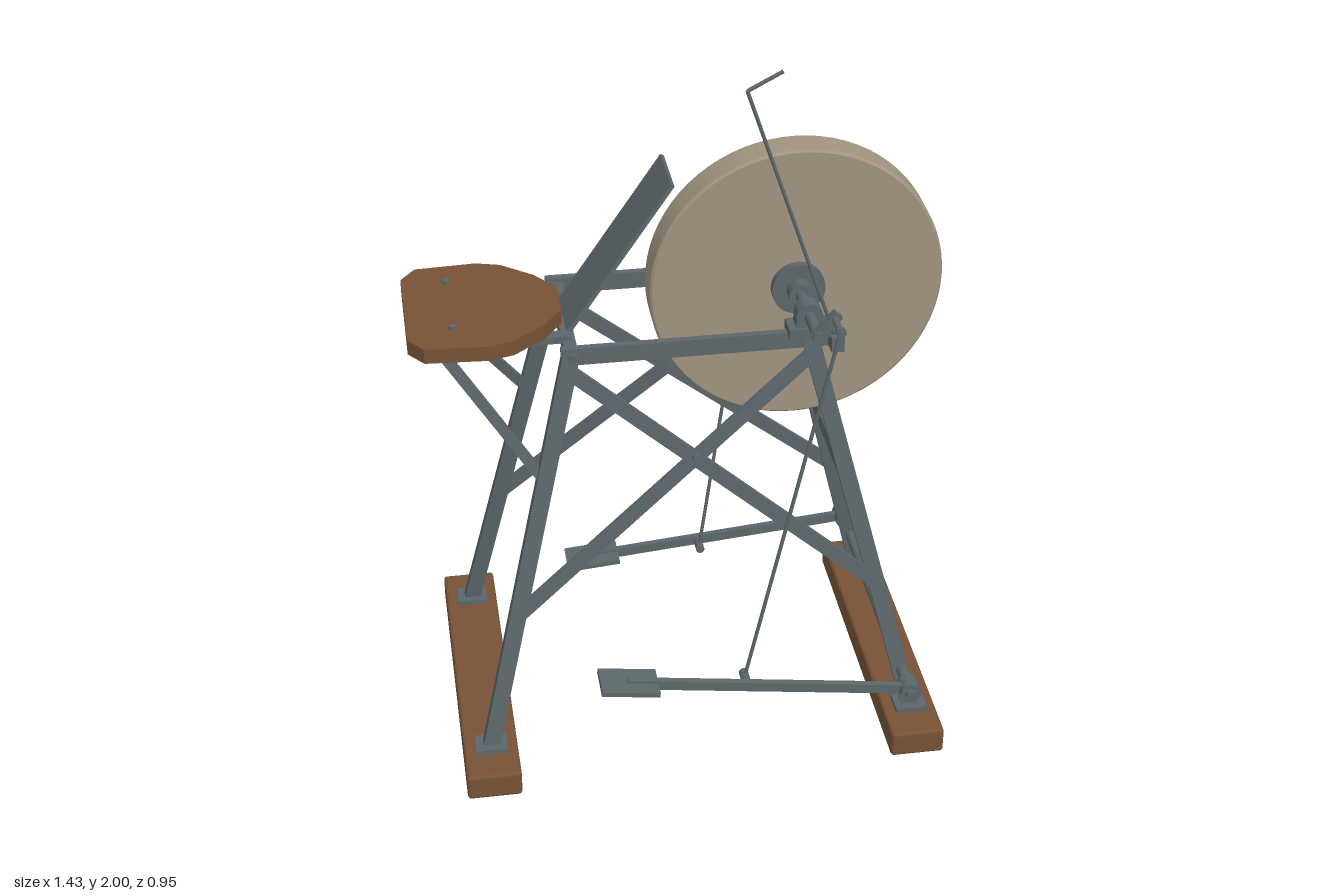
import * as THREE from 'three';
import { RoundedBoxGeometry } from 'three/addons/geometries/RoundedBoxGeometry.js';

const material = (name, color) => {
  const m = new THREE.MeshStandardMaterial({ color });
  m.name = name;
  return m;
};

export function createModel() {
  const metal = material('dark steel', 0x5c676b);
  const wood = material('brown wood', 0x775236);
  const stone = material('tan stone', 0xa19480);
  const model = new THREE.Group();
  model.name = 'treadleGrindstone';

  const add = (name, geometry, mat, x = 0, y = 0, z = 0) => {
    const mesh = new THREE.Mesh(geometry, mat);
    mesh.name = name;
    mesh.position.set(x, y, z);
    model.add(mesh);
    return mesh;
  };
  const box = (name, w, h, d, x, y, z, mat = metal) =>
    add(name, new THREE.BoxGeometry(w, h, d), mat, x, y, z);
  // cylinder lying along z
  const pin = (name, r, length, x, y, z, sides = 20) =>
    add(name, new THREE.CylinderGeometry(r, r, length, sides).rotateX(Math.PI / 2), metal, x, y, z);
  // flat bar between two points, its thin side facing z
  const bar = (name, a, b, width, thickness) => {
    const p = new THREE.Vector3(...a), q = new THREE.Vector3(...b);
    const dir = q.clone().sub(p);
    const length = dir.length();
    dir.normalize();
    const across = new THREE.Vector3().crossVectors(dir, new THREE.Vector3(0, 0, 1)).normalize();
    const out = new THREE.Vector3().crossVectors(across, dir);
    const mesh = add(name, new THREE.BoxGeometry(width, length, thickness), metal);
    mesh.quaternion.setFromRotationMatrix(new THREE.Matrix4().makeBasis(across, dir, out));
    mesh.position.copy(p.add(q).multiplyScalar(0.5));
    return mesh;
  };
  // round rod between two points
  const rod = (name, a, b, r) => {
    const p = new THREE.Vector3(...a), q = new THREE.Vector3(...b);
    const dir = q.clone().sub(p);
    const mesh = add(name, new THREE.CylinderGeometry(r, r, dir.length(), 10), metal);
    mesh.quaternion.setFromUnitVectors(new THREE.Vector3(0, 1, 0), dir.normalize());
    mesh.position.copy(p.add(q).multiplyScalar(0.5));
    return mesh;
  };

  // grinding wheel with a small chamfer
  const R = 0.395, hubX = 0.318, hubY = 1.297;
  const profile = [[0, -0.048], [R - 0.006, -0.048], [R, -0.042], [R, 0.042], [R - 0.006, 0.048], [0, 0.048]];
  profile.slice(0, -1).forEach((p, i) => {
    const pts = [p, profile[i + 1]].map(([x, y]) => new THREE.Vector2(x, y));
    add('grindingWheel', new THREE.LatheGeometry(pts, 72).rotateX(Math.PI / 2), stone, hubX, hubY, 0);
  });
  pin('axle', 0.015, 0.66, hubX, hubY, 0);

  // wooden skids and the cross members
  for (const x of [-0.572, 0.613]) {
    add('skid', new RoundedBoxGeometry(0.15, 0.078, 0.94, 2, 0.01), wood, x, 0.039, 0);
  }
  box('rearCrossBar', 0.035, 0.035, 0.4, -0.302, 1.215, 0);
  box('lowerCrossBar', 0.035, 0.038, 0.48, 0.42, 0.84, 0);

  for (const s of [1, -1]) {
    // legs and feet
    for (const [x0, x1, top] of [[-0.57, -0.302, 1.235], [0.615, 0.322, 1.235]]) {
      box('footPlate', 0.088, 0.014, 0.07, x0, 0.085, s * 0.345);
      bar('leg', [x0, 0.085, s * 0.345], [x1, top, s * 0.19], 0.045, 0.028);
    }
    box('topRail', 0.72, 0.048, 0.02, 0.03, 1.222, s * 0.192);
    pin('railBolt', 0.013, 0.05, -0.297, 1.222, s * 0.192, 12);

    // crossed braces
    bar('brace', [-0.31, 1.18, s * 0.204], [0.515, 0.485, s * 0.3], 0.04, 0.012);
    bar('brace', [0.33, 1.18, s * 0.204], [-0.475, 0.485, s * 0.3], 0.04, 0.012);
    pin('braceBolt', 0.013, 0.035, 0.018, 0.912, s * 0.245, 12);

    // seat supports
    box('seatRail', 0.36, 0.02, 0.034, -0.475, 1.235, s * 0.115);
    bar('seatStrut', [-0.64, 1.23, s * 0.12], [-0.385, 0.87, s * 0.238], 0.028, 0.014);

    // hub flange, collar and bearing
    pin('hubFlange', 0.072, 0.024, hubX, hubY, s * 0.058, 32);
    pin('hubCollar', 0.033, 0.04, hubX, hubY, s * 0.085, 24);
    box('bearingBase', 0.11, 0.028, 0.068, hubX, 1.252, s * 0.194);
    box('bearingBlock', 0.07, 0.045, 0.045, hubX, 1.278, s * 0.194);
    pin('bearingCap', 0.035, 0.045, hubX, hubY, s * 0.194, 24);

    // crank, connecting rod and treadle, half a turn apart on the two sides
    const cx = hubX + s * 0.042, cy = hubY + s * 0.048;
    const rodY = s > 0 ? 0.27 : 0.165, endY = s > 0 ? 0.328 : 0.128;
    bar('crankArm', [hubX - s * 0.012, hubY - s * 0.013, s * 0.312],
      [cx + s * 0.01, cy + s * 0.011, s * 0.312], 0.028, 0.02);
    pin('crankPin', 0.009, 0.1, cx, cy, s * 0.352, 12);
    pin('rodEye', 0.014, 0.014, cx, cy, s * 0.386, 16);
    rod('connectingRod', [cx, cy, s * 0.386], [0.132, rodY, s * 0.386], 0.005);
    pin('treadlePin', 0.013, 0.07, 0.132, rodY, s * 0.4, 12);
    bar('treadleArm', [0.59, 0.205, s * 0.425], [-0.2, endY - (endY - 0.205) * 0.08, s * 0.425], 0.028, 0.018);
    bar('treadlePlate', [-0.115, 0.205 + (endY - 0.205) * 0.82, s * 0.423], [-0.273, endY, s * 0.423], 0.014, 0.105);
    pin('treadleHub', 0.029, 0.055, 0.589, 0.205, s * 0.425, 24);
  }
  pin('treadleAxle', 0.016, 0.93, 0.589, 0.205, 0);

  // wooden seat
  const half = [[-0.72, 0.16], [-0.68, 0.214], [-0.515, 0.224], [-0.45, 0.205], [-0.365, 0.135], [-0.312, 0.06]];
  const outline = [...half, ...half.slice().reverse().map(([x, z]) => [x, -z])];
  const seat = new THREE.ExtrudeGeometry(new THREE.Shape(outline.map((p) => new THREE.Vector2(...p))),
    { depth: 0.042, bevelEnabled: false });
  add('seat', seat.rotateX(-Math.PI / 2), wood, 0, 1.245, 0);
  for (const z of [-0.125, 0.12]) {
    add('seatBolt', new THREE.CylinderGeometry(0.01, 0.01, 0.012, 12), metal, -0.6, 1.291, z);
  }

  // sloping splash board
  bar('splashBoard', [-0.302, 1.225, -0.002], [-0.022, 1.638, -0.002], 0.011, 0.184);

  // tall bent rod on its bracket
  box('rodBracket', 0.034, 0.042, 0.05, 0.388, 1.225, 0.225);
  rod('tallRod', [0.39, 1.22, 0.228], [0.14, 1.95, 0.228], 0.005);
  rod('tallRodTip', [0.14, 1.95, 0.228], [0.228, 1.996, 0.228], 0.005);

  return model;
}
